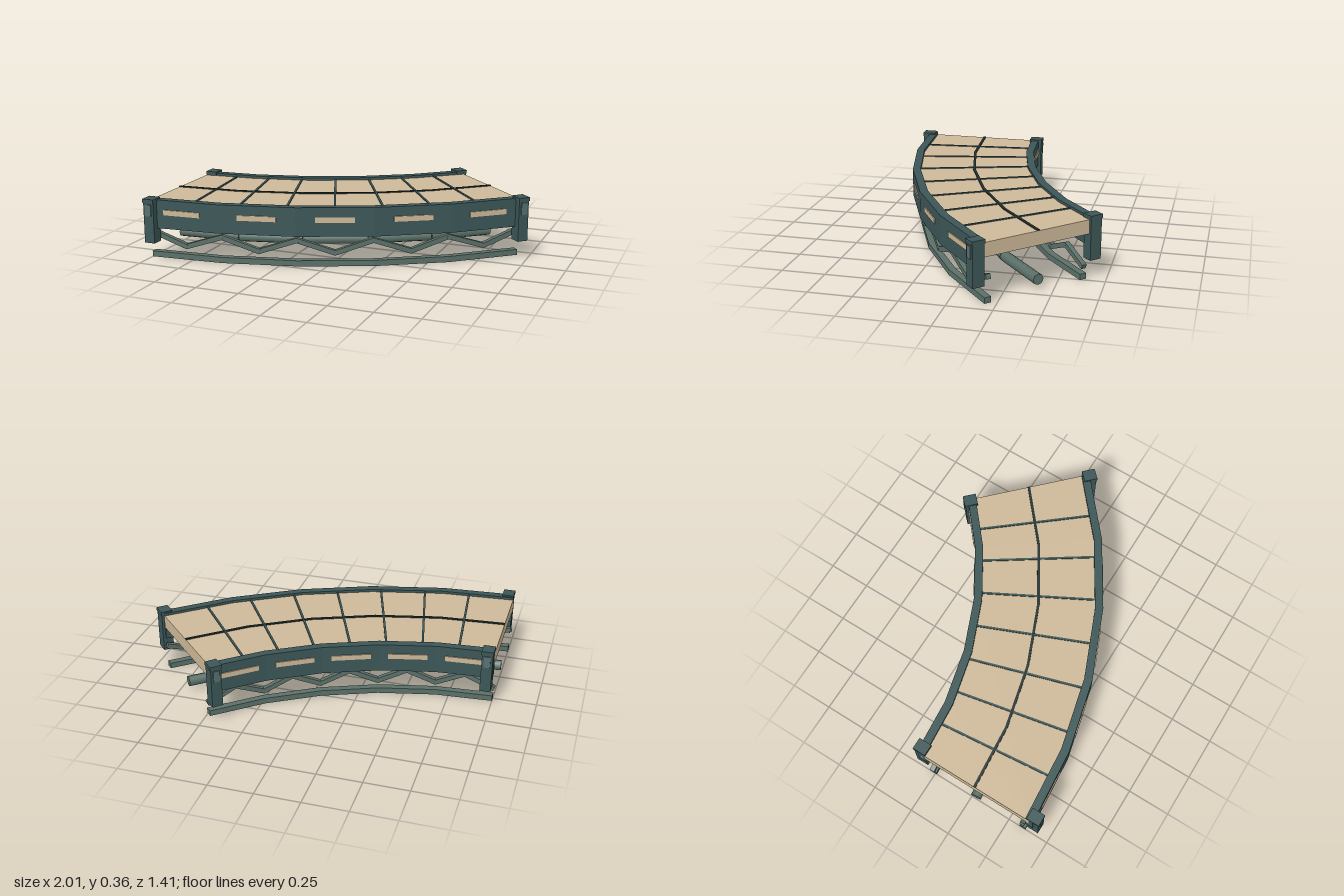
import * as THREE from 'three';

const CX = -1, CZ = -2.12;            // centre of the curve
const ARC = Math.PI / 4, SEGS = 5, STEP = ARC / SEGS;

const mat = (name, color) => {
  const m = new THREE.MeshStandardMaterial({ color });
  m.name = name;
  return m;
};

// Point on the curve at radius r, angle a, height y
const at = (r, a, y) => new THREE.Vector3(CX + r * Math.sin(a), y, CZ + r * Math.cos(a));

// Faceted curved bar with a rectangular section
function arcBar(name, r0, r1, y0, y1, material) {
  const pts = [];
  for (let i = 0; i <= SEGS; i++) pts.push(at(r1, i * STEP, 0));
  for (let i = SEGS; i >= 0; i--) pts.push(at(r0, i * STEP, 0));
  const shape = new THREE.Shape(pts.map(p => new THREE.Vector2(p.x, -p.z)));
  const geo = new THREE.ExtrudeGeometry(shape, { depth: y1 - y0, bevelEnabled: false });
  geo.rotateX(-Math.PI / 2).translate(0, y0, 0);
  const mesh = new THREE.Mesh(geo, material);
  mesh.name = name;
  return mesh;
}

// Box lying along the curve: length (tangent), height, depth (radial)
function arcBox(name, r, a, y, size, material, shift = 0) {
  const mesh = new THREE.Mesh(new THREE.BoxGeometry(...size), material);
  mesh.position.copy(at(r, a, y));
  mesh.position.x += shift * Math.cos(a);
  mesh.position.z -= shift * Math.sin(a);
  mesh.rotation.y = a;
  mesh.name = name;
  return mesh;
}

// Straight member from p to q; the geometry runs along z
function strut(name, p, q, makeGeo, material) {
  const mesh = new THREE.Mesh(makeGeo(p.distanceTo(q)), material);
  mesh.position.copy(p).lerp(q, 0.5);
  mesh.lookAt(q);
  mesh.name = name;
  return mesh;
}

export function createModel() {
  const model = new THREE.Group();
  model.name = 'curvedBridgeSection';
  const tan = mat('deckTan', 0xcdb898);
  const teal = mat('girderTeal', 0x3c5657);
  const dark = mat('seamDark', 0x22312f);
  const steel = mat('trussGreen', 0x5b7069);
  const panelMat = mat('panelTeal', 0x587070);

  // Deck with its seams
  model.add(arcBar('deck', 2.05, 2.75, 0.255, 0.335, tan));
  model.add(arcBar('centreSeam', 2.395, 2.41, 0.334, 0.341, dark));
  for (let i = 1; i < 8; i++) {
    model.add(arcBox('crossSeam', 2.4, i * ARC / 8, 0.337, [0.012, 0.007, 0.68], teal));
  }

  // Everything that exists on both the outer and the inner edge
  const sides = [
    { label: 'outer', rail: [2.728, 2.775], face: 2.775, dir: 1, post: 2.773, chord: [2.69, 2.73], truss: 2.71, flip: 0 },
    { label: 'inner', rail: [2.03, 2.077], face: 2.03, dir: -1, post: 2.042, chord: [2.09, 2.13], truss: 2.11, flip: 1 },
  ];
  for (const s of sides) {
    model.add(arcBar(s.label + 'Girder', s.rail[0], s.rail[1], 0.185, 0.35, teal));
    model.add(arcBar(s.label + 'LowerChord', s.chord[0], s.chord[1], 0, 0.033, steel));

    // Tan inset plates on the girder face
    const faceR = s.face * Math.cos(STEP / 2) + s.dir * 0.002;
    for (let i = 0; i < SEGS; i++) {
      model.add(arcBox(s.label + 'Window', faceR, (i + 0.5) * STEP, 0.28, [0.22, 0.03, 0.008], tan));
    }

    // Zigzag bracing
    const node = i => at(s.truss, i * STEP / 2, (i + s.flip) % 2 ? 0.077 : 0.147);
    for (let i = 0; i < SEGS * 2; i++) {
      model.add(strut(s.label + 'Brace', node(i), node(i + 1),
        len => new THREE.BoxGeometry(0.028, 0.028, len + 0.012), steel));
    }

    // End posts with cap and small panel
    for (const [a, shift] of [[0, 0.034], [ARC, -0.016]]) {
      const post = new THREE.Group();
      post.name = s.label + 'EndPost';
      post.add(arcBox('postBody', s.post, a, 0.223, [0.062, 0.236, 0.07], teal, shift));
      post.add(arcBox('postCap', s.post, a, 0.348, [0.068, 0.022, 0.078], teal, shift));
      post.add(arcBox('postPanel', s.post + s.dir * 0.037, a, 0.295, [0.036, 0.068, 0.008], panelMat, shift));
      model.add(post);
    }
  }

  // Pipe under the middle of the deck
  for (let i = 0; i < SEGS; i++) {
    model.add(strut('centrePipe', at(2.4, i * STEP, 0.063), at(2.4, (i + 1) * STEP, 0.063),
      len => new THREE.CylinderGeometry(0.031, 0.031, len, 8).rotateX(Math.PI / 2), steel));
  }
  return model;
}
